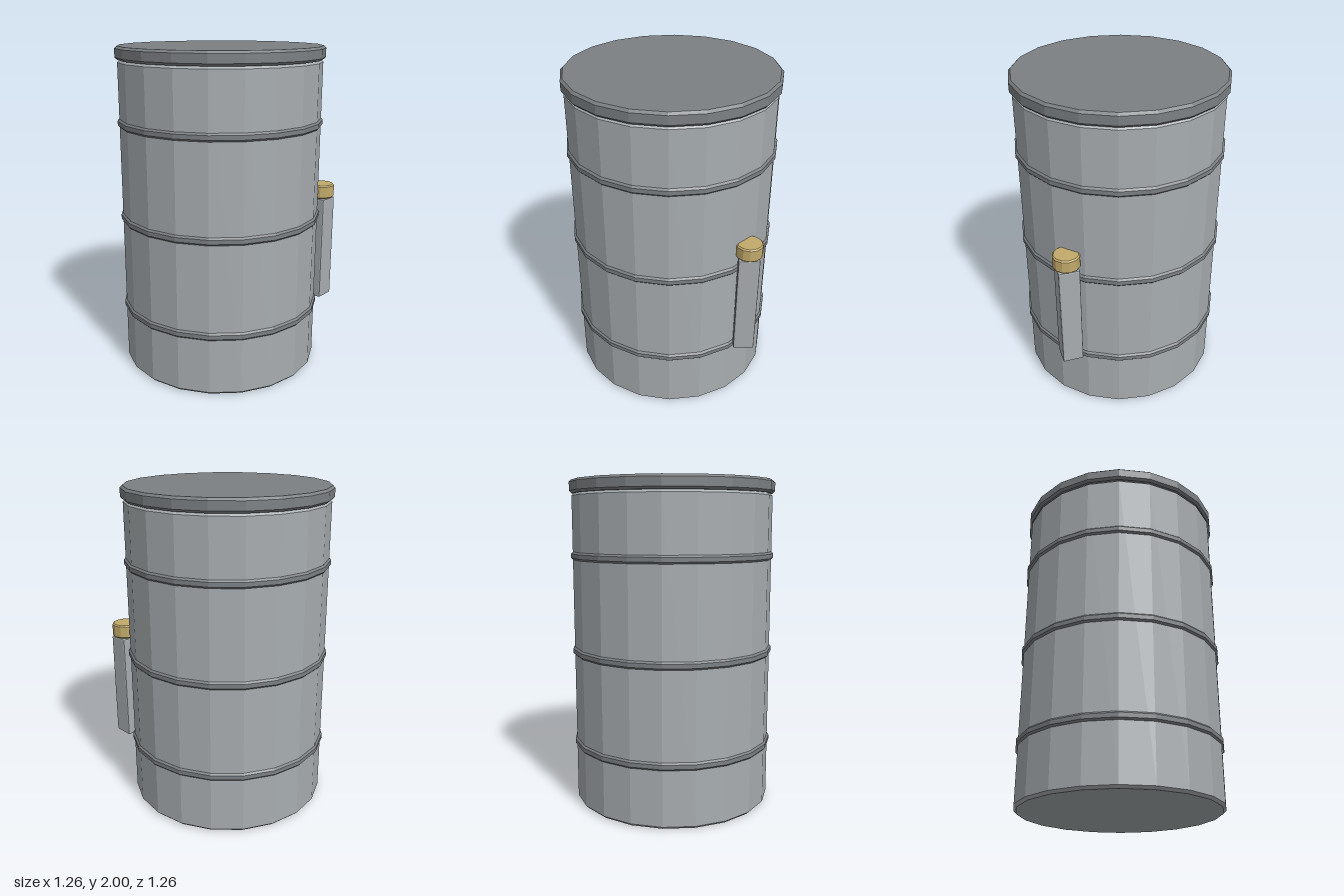
import * as THREE from 'three';
import { RoundedBoxGeometry } from 'three/addons/geometries/RoundedBoxGeometry.js';
import { toCreasedNormals } from 'three/addons/utils/BufferGeometryUtils.js';

const steel = new THREE.MeshStandardMaterial({ color: 0xa8adb0 });
steel.name = 'light steel';
const darkSteel = new THREE.MeshStandardMaterial({ color: 0x7c8083 });
darkSteel.name = 'dark steel';
const brass = new THREE.MeshStandardMaterial({ color: 0xc2aa6a });
brass.name = 'brass';

// Closed faceted disc with bevelled rims, from y0 to y1
function bevelledDrum(name, radius, y0, y1, bevel, sides, material) {
  const profile = [
    [0, y0], [radius - bevel, y0], [radius, y0 + bevel],
    [radius, y1 - bevel], [radius - bevel, y1], [0, y1],
  ].map(([r, y]) => new THREE.Vector2(r, y));
  const geometry = toCreasedNormals(new THREE.LatheGeometry(profile, sides), 0.1);
  const mesh = new THREE.Mesh(geometry, material);
  mesh.name = name;
  return mesh;
}

export function createModel() {
  const model = new THREE.Group();
  model.name = 'barrel';

  // Drum body and lid
  model.add(bevelledDrum('body', 0.617, 0, 1.922, 0.016, 20, steel));
  model.add(bevelledDrum('lid', 0.631, 1.92, 2, 0.014, 20, darkSteel));

  // Three reinforcing hoops
  [0.38, 0.963, 1.548].forEach((y, i) => {
    model.add(bevelledDrum(`hoop${i + 1}`, 0.628, y - 0.024, y + 0.024, 0.011, 20, darkSteel));
  });

  // Side pipe at the back left, with a brass cap
  const pipe = new THREE.Group();
  pipe.name = 'sidePipe';
  pipe.position.set(0.459, 0, -0.459);
  const post = new THREE.Mesh(
    toCreasedNormals(new RoundedBoxGeometry(0.126, 0.665, 0.126, 1, 0.008), 0.3), steel);
  post.name = 'post';
  post.position.y = 0.7125;
  pipe.add(post);
  pipe.add(bevelledDrum('cap', 0.081, 1.05, 1.135, 0.008, 12, brass));
  model.add(pipe);

  return model;
}
